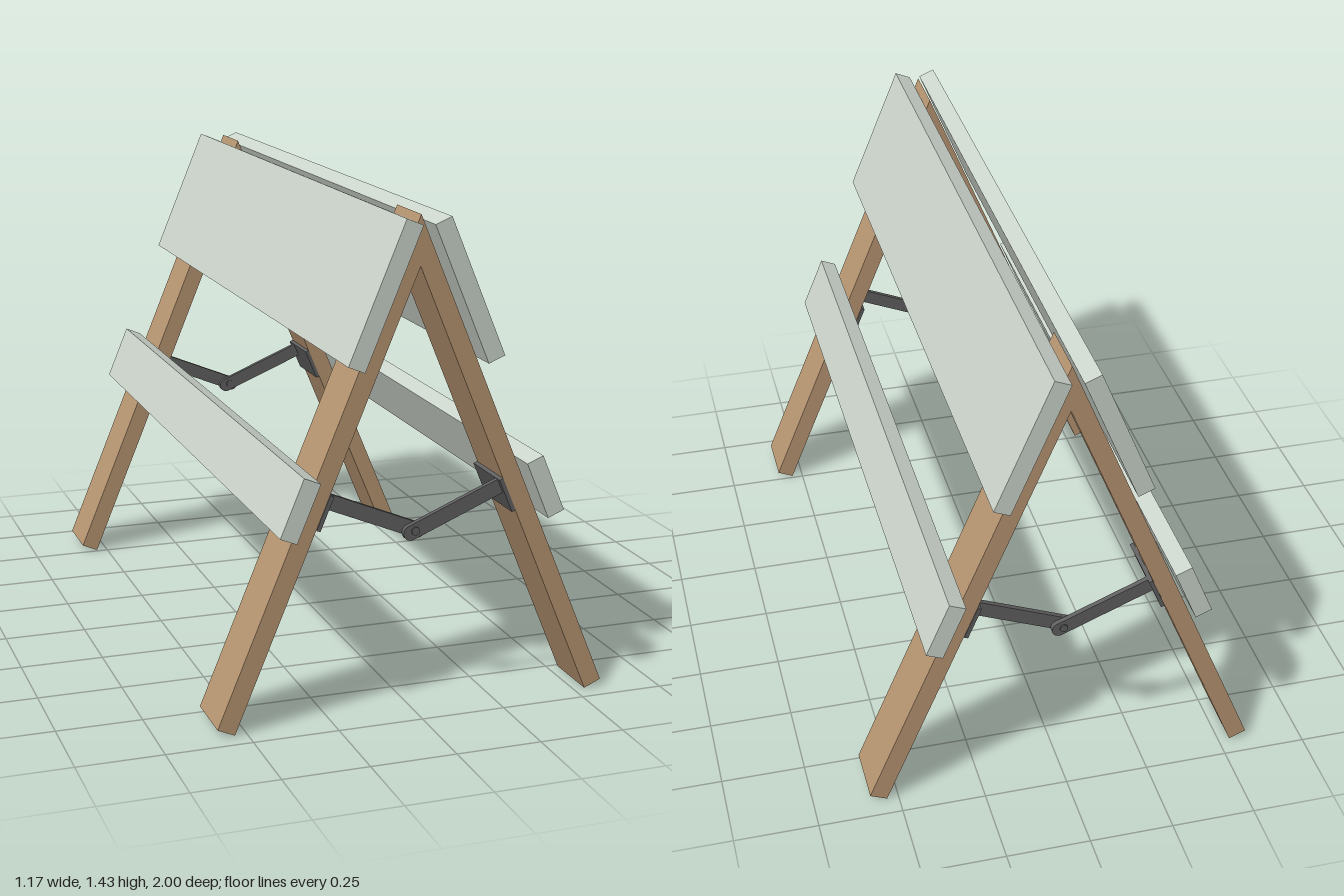
import * as THREE from 'three';

const TILT = Math.atan2(0.585, 1.405); // lean of the legs from vertical
const WOOD = new THREE.MeshStandardMaterial({ color: 0xb89672 });
const PAINT = new THREE.MeshStandardMaterial({ color: 0xcdd6cd });
const METAL = new THREE.MeshStandardMaterial({ color: 0x606060 });

function add(parent, name, geometry, material, x = 0, y = 0, z = 0, tilt = 0) {
  const mesh = new THREE.Mesh(geometry, material);
  mesh.name = name;
  mesh.position.set(x, y, z);
  mesh.rotation.z = tilt;
  parent.add(mesh);
  return mesh;
}

// Extrusion centred on z = 0
function slab(shape, depth) {
  return new THREE.ExtrudeGeometry(shape, { depth, bevelEnabled: false, curveSegments: 10 })
    .translate(0, 0, -depth / 2);
}

// Leg profile, mitred where the two sides meet at the ridge
function legGeometry() {
  const points = [[0, 1.288], [0.535, 0], [0.585, 0.022], [0, 1.43]];
  return slab(new THREE.Shape(points.map(([x, y]) => new THREE.Vector2(x, y))), 0.18);
}

// Flat brace arm with a round end just past the pivot at the origin
function armGeometry() {
  const r = 0.022, overlap = -0.014;
  const shape = new THREE.Shape();
  shape.moveTo(0.295, -r);
  shape.lineTo(0.295, r);
  shape.lineTo(overlap, r);
  shape.absarc(overlap, 0, r, Math.PI / 2, Math.PI * 1.5, false);
  return slab(shape, 0.016);
}

// One leaning half of the frame, on the +x side
function createSide(name) {
  const side = new THREE.Group();
  side.name = name;
  add(side, 'topPlank', new THREE.BoxGeometry(0.052, 0.425, 2), PAINT, 0.1225, 1.224, 0, TILT);
  add(side, 'lowerPlank', new THREE.BoxGeometry(0.052, 0.178, 2), PAINT, 0.3625, 0.649, 0, TILT);
  for (const end of [1, -1]) {
    add(side, 'leg', legGeometry(), WOOD, 0, 0, end * 0.85);
    // Hinge plate on the inner face of the leg
    add(side, 'hingePlate', new THREE.BoxGeometry(0.012, 0.105, 0.186), METAL,
      0.272, 0.617, end * 0.85, TILT);
    // The arms of the two sides lie in neighbouring layers
    add(side, 'braceArm', armGeometry(), METAL, 0, 0.535, end * 0.91 + 0.009, TILT);
  }
  return side;
}

export function createModel() {
  const model = new THREE.Group();
  model.name = 'foldingBarricade';
  const left = createSide('leftSide');
  const right = createSide('rightSide');
  right.rotation.y = Math.PI;
  model.add(left, right);

  // Pins joining the brace arms
  for (const end of [1, -1]) {
    const pin = new THREE.CylinderGeometry(0.012, 0.012, 0.044, 16).rotateX(Math.PI / 2);
    add(model, 'bracePin', pin, METAL, 0, 0.535, end * 0.91);
  }
  return model;
}
